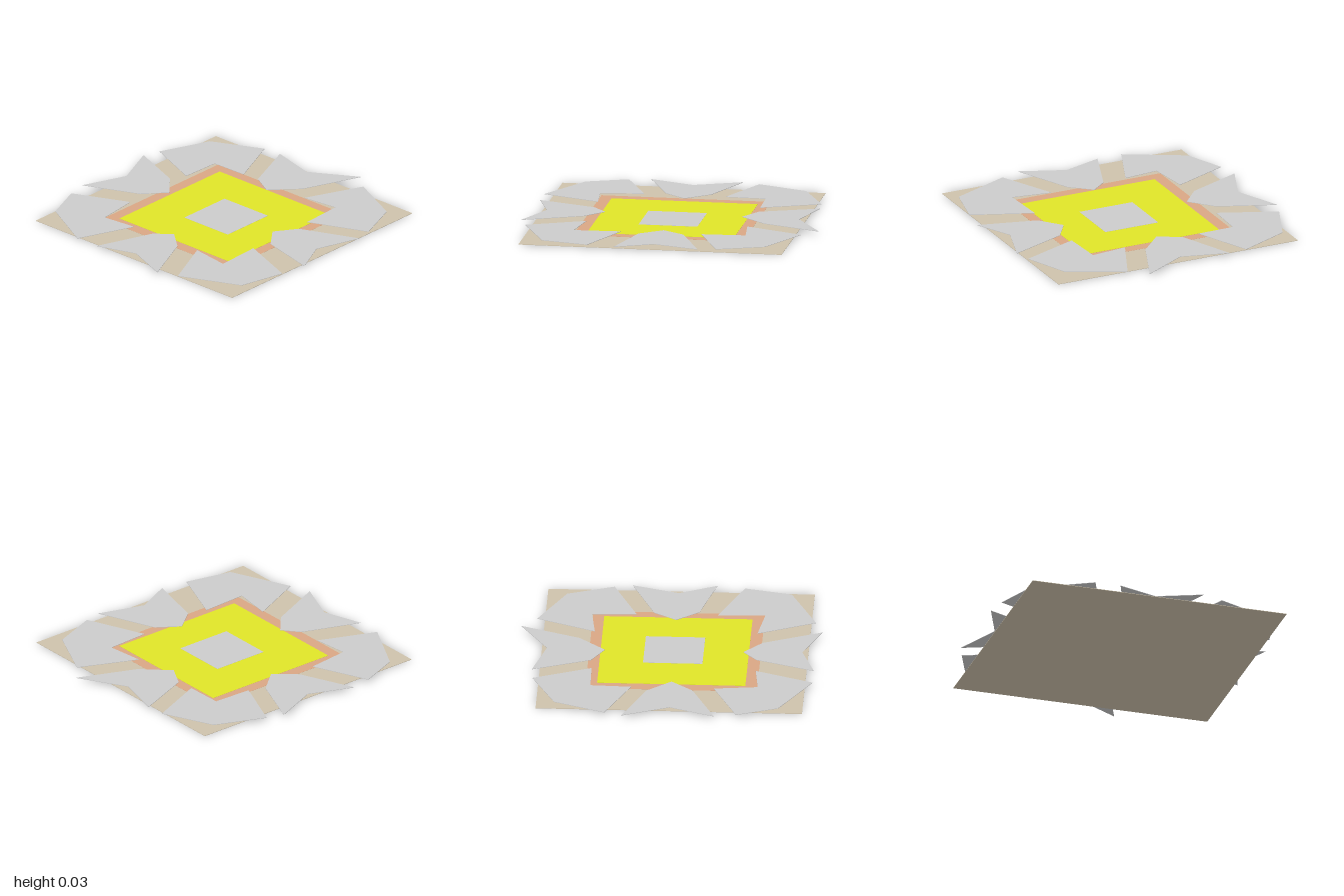
import * as THREE from 'three';

const PLATE = 0.003;

const mat = (color) => new THREE.MeshStandardMaterial({ color });

// Thin horizontal plate from an [x, z] outline, its underside at height y
function plate(name, outline, y, depth, material) {
  const shape = new THREE.Shape(outline.map(([x, z]) => new THREE.Vector2(x, -z)));
  const geometry = new THREE.ExtrudeGeometry(shape, { depth, bevelEnabled: false });
  geometry.rotateX(-Math.PI / 2);
  const mesh = new THREE.Mesh(geometry, material);
  mesh.position.y = y;
  mesh.name = name;
  return mesh;
}

const square = (x0, x1, z0, z1) => [[x0, z0], [x1, z0], [x1, z1], [x0, z1]];

export function createModel() {
  const model = new THREE.Group();
  model.name = 'squareWithPetals';
  const grey = mat(0xcccccc);

  // Ground sheet with stacked colour squares
  model.add(plate('baseSheet', square(-0.92, 0.85, -0.85, 0.915), 0, PLATE, mat(0xcec2ab)));
  const squares = [
    ['outerSquare', square(-0.605, 0.535, -0.54, 0.6), mat(0xd9a684)],
    ['middleSquare', square(-0.525, 0.46, -0.46, 0.525), mat(0xdfe528)],
    ['centreSquare', square(-0.225, 0.17, -0.15, 0.24), grey],
  ];
  squares.forEach(([name, outline, material], i) => {
    model.add(plate(name, outline, PLATE + i * 0.001, 0.001, material));
  });

  // Angular plates floating in a ring above the sheet
  const ring = {
    backRightCornerPlate: [[-0.97, -0.43], [-0.76, -0.82], [-0.485, -0.93], [-0.32, -0.55], [-0.61, -0.515], [-0.585, -0.275]],
    backPlate: [[-0.34, -0.96], [-0.04, -0.84], [0.275, -0.975], [0.125, -0.6], [-0.035, -0.46], [-0.18, -0.585]],
    backLeftCornerPlate: [[0.39, -0.935], [0.73, -0.795], [0.89, -0.45], [0.505, -0.285], [0.5, -0.54], [0.23, -0.55]],
    rightPlate: [[-0.97, -0.255], [-0.58, -0.11], [-0.49, 0], [-0.61, 0.14], [-1, 0.315], [-0.88, 0.015]],
    leftPlate: [[0.9, -0.32], [0.515, -0.165], [0.43, -0.01], [0.605, 0.155], [1, 0.315], [0.815, 0]],
    frontRightCornerPlate: [[-0.95, 0.455], [-0.57, 0.28], [-0.61, 0.55], [-0.295, 0.535], [-0.455, 0.94], [-0.77, 0.865]],
    frontPlate: [[-0.27, 0.97], [-0.17, 0.575], [-0.02, 0.455], [0.13, 0.555], [0.29, 0.95], [-0.02, 0.85]],
    frontLeftCornerPlate: [[0.245, 0.525], [0.54, 0.51], [0.51, 0.26], [0.9, 0.43], [0.72, 0.805], [0.41, 0.925]],
  };
  for (const [name, outline] of Object.entries(ring)) {
    model.add(plate(name, outline, 0.022, PLATE, grey));
  }

  return model;
}
